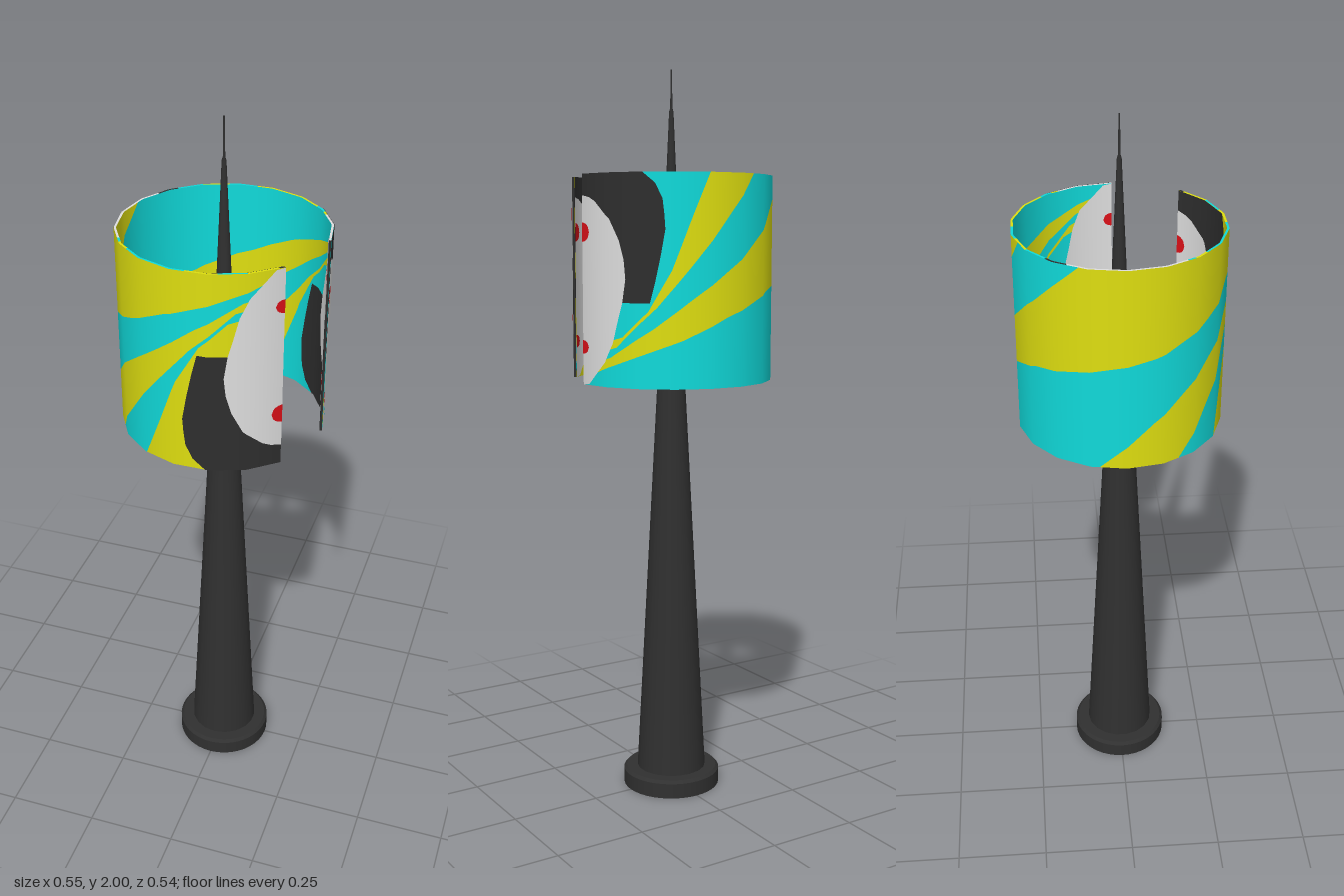
import * as THREE from 'three';

const mat = (name, color, side = THREE.FrontSide) => {
  const m = new THREE.MeshStandardMaterial({ color, side });
  m.name = name;
  return m;
};

const FLOOR = 1.17, CEIL = 1.72, MID = FLOOR + CEIL; // MID - y flips a height
const START = 40, END = 360;                         // the shade is open between 0 and 40 degrees
const OUTER = 0.274, INNER = 0.268;

// eighteen-sided ring: corners every 20 degrees
function ringPoint(deg, r, y) {
  const local = (((deg % 20) + 20) % 20) - 10;
  const rr = r * Math.cos(Math.PI / 18) / Math.cos(local * Math.PI / 180);
  const a = deg * Math.PI / 180;
  return [rr * Math.cos(a), y, rr * Math.sin(a)];
}

// piecewise-linear curve through [degrees, drop] points, drop in hundredths of the shade height
const curve = (pts) => (t) => {
  let d = pts[pts.length - 1][1];
  if (t <= pts[0][0]) d = pts[0][1];
  else for (let i = 1; i < pts.length; i++) {
    const [t0, d0] = pts[i - 1], [t1, d1] = pts[i];
    if (t <= t1) { d = d0 + (d1 - d0) * (t - t0) / (t1 - t0); break; }
  }
  return CEIL - (CEIL - FLOOR) * Math.min(100, Math.max(0, d)) / 100;
};
const mirrored = (f) => (t) => MID - f(START + END - t);

// sheet following the ring between two height curves; the inside is upside down
function patch(lo, hi, t0, t1, lift, inside) {
  const ts = [t0];
  for (let t = Math.floor(t0) + 1; t < t1; t++) ts.push(t);
  ts.push(t1);
  const r = inside ? INNER - lift : OUTER + lift;
  const s = inside ? -1 : 1;
  const pos = [], nor = [], idx = [];
  ts.forEach((t, i) => {
    const a = t * Math.PI / 180;
    const h = Math.max(lo(t), hi(t));
    for (const y of [lo(t), h]) {
      pos.push(...ringPoint(t, r, inside ? MID - y : y));
      nor.push(s * Math.cos(a), 0, s * Math.sin(a));
    }
    if (i === 0) return;
    const p = ts[i - 1];
    if (hi(t) - lo(t) < 1e-5 && hi(p) - lo(p) < 1e-5) return;
    const k = 2 * i - 2;
    idx.push(k, k + 1, k + 3, k, k + 3, k + 2);
  });
  const g = new THREE.BufferGeometry();
  g.setAttribute('position', new THREE.Float32BufferAttribute(pos, 3));
  g.setAttribute('normal', new THREE.Float32BufferAttribute(nor, 3));
  g.setIndex(idx);
  return g;
}

// flat rim arc joining inner and outer walls
function rimArc(t0, t1, y) {
  const pos = [], idx = [], n = Math.max(1, Math.ceil((t1 - t0) / 2));
  for (let i = 0; i <= n; i++) {
    const t = t0 + (t1 - t0) * i / n;
    pos.push(...ringPoint(t, INNER, y), ...ringPoint(t, OUTER, y));
    if (i) { const k = 2 * i - 2; idx.push(k, k + 3, k + 1, k, k + 2, k + 3); }
  }
  const g = new THREE.BufferGeometry();
  g.setAttribute('position', new THREE.Float32BufferAttribute(pos, 3));
  g.setIndex(idx);
  g.computeVertexNormals();
  return g;
}

export function createModel() {
  const model = new THREE.Group();
  const dark = mat('charcoal', 0x303030);
  const yellow = mat('yellow', 0xdede10);
  const cyan = mat('cyan', 0x10dada);
  const white = mat('pale grey', 0xdedede);
  const red = mat('red', 0xdc1018);
  const black = mat('black', 0x2e2e2e, THREE.DoubleSide);
  const rimMats = { y: yellow, c: cyan, w: white, b: black };
  for (const m of [yellow, cyan, white, red]) m.side = THREE.DoubleSide;

  const add = (parent, name, geo, material) => {
    const m = new THREE.Mesh(geo, material);
    m.name = name;
    parent.add(m);
    return m;
  };

  // foot disc with a small bevel
  const foot = [[0, 0], [0.136, 0], [0.136, 0], [0.136, 0.042], [0.136, 0.042], [0.128, 0.05], [0.128, 0.05], [0, 0.05]];
  add(model, 'foot', new THREE.LatheGeometry(foot.map(p => new THREE.Vector2(...p)), 40), dark);

  // tapering post running up into a fine spire
  const post = [[0.097, 0.05], [0.038, 1.17], [0.0135, 1.72], [0.006, 1.89], [0.003, 1.9], [0.002, 2.0], [0, 2.0]];
  add(model, 'post', new THREE.LatheGeometry(post.map(p => new THREE.Vector2(...p)), 18), dark);

  // boundaries of the painted rays, fanning out from the front edge
  const half = curve([[40, 3], [76, 14], [105, 23], [130, 33], [165, 44], [200, 50]]);
  const middle = (t) => (t <= 200 ? half(t) : mirrored(half)(t));
  const fan = [
    curve([[40, 8], [62, 14], [88, 28], [110, 42], [138, 59], [165, 77], [195, 100]]),
    curve([[40, 12], [66, 19], [90, 38], [110, 58], [130, 79], [150, 100]]),
    curve([[40, 16], [70, 24], [85, 36], [98, 55], [108, 77], [119, 100]]),
  ];
  const levels = [() => FLOOR, fan[2], fan[1], fan[0], middle,
    mirrored(fan[0]), mirrored(fan[1]), mirrored(fan[2]), () => CEIL];

  // end panel shapes as [lower curve, upper curve, last angle]
  const blackShape = [
    curve([[40, 100], [82, 100], [89, 95], [93.5, 87], [94.5, 74]]),
    curve([[40, 40], [86, 40], [89, 50], [92, 62], [94.5, 74]]), 94.5];
  const whiteShape = [
    curve([[40, 90], [46, 89], [51, 87], [62, 79], [68, 69], [71, 60], [72, 51]]),
    curve([[40, 0], [45, 0.5], [48, 3], [59, 12], [64, 21], [67, 31], [70, 40], [72, 51]]), 72];
  const dot = (y, ry, rt) => {
    const h = (t) => ry * Math.sqrt(Math.max(0, 1 - ((t - START) / rt) ** 2));
    return [(t) => y - h(t), (t) => y + h(t), START + rt];
  };
  const panels = [
    ['blackPatch', blackShape, black, 0.0008],
    ['palePatch', whiteShape, white, 0.0016],
    ['upperRedDot', dot(1.62, 0.018, 5), red, 0.0024],
    ['lowerRedDot', dot(1.32, 0.025, 6), red, 0.0024],
  ];

  const shade = new THREE.Group();
  shade.name = 'shade';
  model.add(shade);
  for (const inside of [false, true]) {
    const wall = new THREE.Group();
    wall.name = inside ? 'innerWall' : 'outerWall';
    shade.add(wall);
    for (let i = 0; i < 8; i++) {
      add(wall, 'ray' + (i + 1), patch(levels[i], levels[i + 1], START, END, 0, inside), i % 2 ? cyan : yellow);
    }
    // each panel also appears turned half round at the other end
    for (const [name, [lo, hi, last], m, lift] of panels) {
      add(wall, name + 'Front', patch(lo, hi, START, last, lift, inside), m);
      add(wall, name + 'Side', patch(mirrored(hi), mirrored(lo), START + END - last, END, lift, inside), m);
    }
  }

  // thin rims, coloured in arcs
  const arcs = [[40, 'b'], [43, 'y'], [60, 'c'], [75, 'y'], [92, 'c'], [133, 'y'], [142, 'c'], [147, 'w'],
    [212, 'b'], [225, 'c'], [240, 'y'], [255, 'c'], [271, 'y'], [315, 'c'], [323, 'y'], [327, 'w'], [360, '']];
  for (const [name, y] of [['topRim', CEIL], ['bottomRim', FLOOR]]) {
    for (let i = 0; i < arcs.length - 1; i++) {
      add(shade, name, rimArc(arcs[i][0], arcs[i + 1][0], y), rimMats[arcs[i][1]]);
    }
  }

  // end edges of the open shade
  for (const [name, t] of [['frontEdge', START], ['sideEdge', END]]) {
    const edge = add(shade, name, new THREE.PlaneGeometry(OUTER - INNER, CEIL - FLOOR), black);
    edge.position.set(...ringPoint(t, (OUTER + INNER) / 2, MID / 2));
    edge.rotation.y = -t * Math.PI / 180;
  }
  return model;
}
